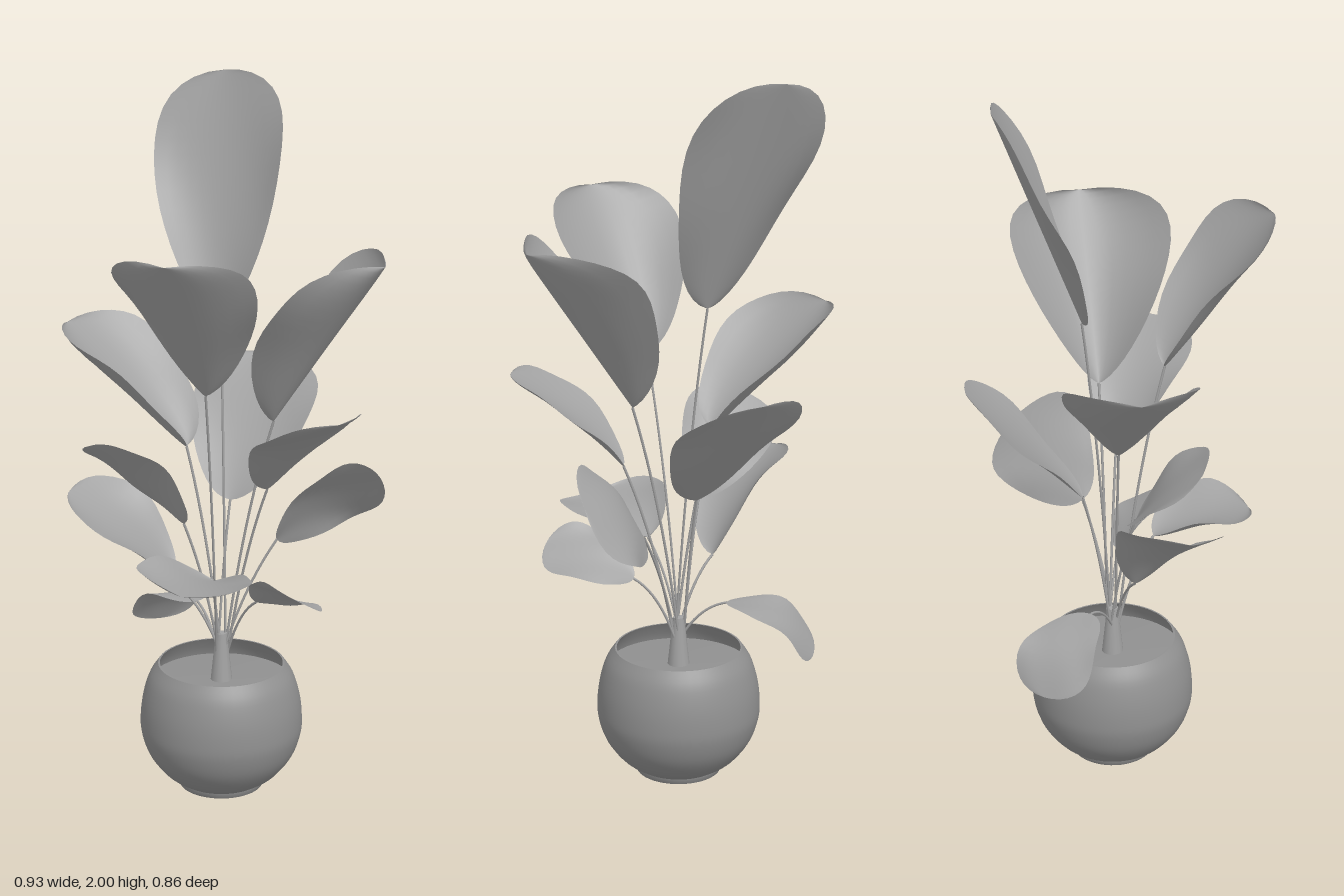
import * as THREE from 'three';

const V = (a) => new THREE.Vector3(...a);
const leafMat = new THREE.MeshStandardMaterial({ color: 0xa2a2a2, side: THREE.DoubleSide });
const potMat = new THREE.MeshStandardMaterial({ color: 0x909090, side: THREE.DoubleSide });
const CX = 0.005, CZ = -0.025; // pot axis

// base = where the stalk meets the blade, tilt = roll about its length,
// cup = how far the edges curl up, bend = arch along the length,
// taper = how slowly the blade widens from its base
const LEAVES = [
  { base: [-0.03, 1.37, -0.115], tip: [-0.11, 2.00, -0.36], width: 0.39, cup: 0.07, tilt: 0.36 },
  { base: [0.015, 1.20, 0.125], tip: [0.015, 1.62, 0.425], width: 0.39, cup: 0.13, taper: 0.55 },
  { base: [0.155, 1.10, -0.03], tip: [0.465, 1.56, -0.02], width: 0.45, cup: 0.23, taper: 0.65 },
  { base: [-0.10, 1.00, -0.03], tip: [-0.465, 1.32, -0.05], width: 0.36, cup: 0.14 },
  { base: [0.0, 0.83, -0.11], tip: [0.0, 1.18, -0.43], width: 0.37, cup: 0.04 },
  { base: [0.155, 0.92, 0.02], tip: [0.41, 1.18, 0.19], width: 0.30, cup: 0.05, bend: 0.02 },
  { base: [0.15, 0.74, -0.08], tip: [0.41, 0.91, -0.21], width: 0.32, cup: -0.02, bend: 0.03, tilt: 0.86 },
  { base: [-0.09, 0.79, 0.02], tip: [-0.32, 1.03, 0.15], width: 0.27, cup: 0.03, bend: 0.02, tilt: -0.5 },
  { base: [-0.13, 0.61, 0.01], tip: [-0.405, 0.87, 0.10], width: 0.28, cup: 0.07, bend: 0.03, tilt: 0.3 },
  { base: [0.03, 0.665, 0.10], tip: [0.04, 0.72, 0.38], width: 0.32, cup: 0.07, bend: 0.01, tilt: 0.1 },
  { base: [0.125, 0.585, 0.02], tip: [0.31, 0.67, 0.19], width: 0.20, cup: 0.01, bend: 0.02, tilt: 0.52 },
  { base: [-0.10, 0.51, -0.11], tip: [-0.28, 0.37, -0.28], width: 0.23, cup: 0, bend: 0.055 },
];

// Obovate blade: a plane reshaped along the base-to-tip axis
function leafGeometry({ base, tip, width, cup, bend = 0, tilt = 0, taper = 0.48 }, phase) {
  const b = V(base), along = V(tip).sub(b), dir = along.clone().normalize();
  const across = new THREE.Vector3(-dir.z, 0, dir.x).normalize().applyAxisAngle(dir, -tilt);
  const normal = across.clone().cross(dir);
  const profile = (t) => Math.pow(t, taper) * Math.sqrt(Math.max(0, 1 - t ** 5));
  const widest = profile(0.7);
  const geo = new THREE.PlaneGeometry(2, 1, 12, 20);
  const pos = geo.attributes.position, p = new THREE.Vector3();
  for (let i = 0; i < pos.count; i++) {
    const s = pos.getX(i);
    const t = (1 - Math.cos(Math.PI * (pos.getY(i) + 0.5))) / 2;
    const outline = profile(t) / widest;
    const wave = 0.008 * s * s * Math.sin(9 * t + phase + 2 * s) * outline;
    const curl = cup * s * s * outline * (1 - 0.6 * t);
    p.copy(b).addScaledVector(along, t)
      .addScaledVector(across, s * outline * width / 2)
      .addScaledVector(normal, curl + wave + bend * Math.sin(Math.PI * t));
    pos.setXYZ(i, p.x, p.y, p.z);
  }
  geo.computeVertexNormals();
  return geo;
}

// Thin stalk rising from the crown and leaning out to the blade
function stalkGeometry({ base }, i) {
  const a = i * 2.4;
  const start = new THREE.Vector3(CX + 0.013 * Math.cos(a), 0.36, CZ + 0.013 * Math.sin(a));
  const end = V(base);
  const mid = start.clone().lerp(end, 0.38);
  mid.y = THREE.MathUtils.lerp(start.y, end.y, 0.6) + (end.y < 0.7 ? 0.04 : 0);
  return new THREE.TubeGeometry(new THREE.QuadraticBezierCurve3(start, mid, end), 14, 0.0037, 6);
}

export function createModel() {
  const group = new THREE.Group();
  const add = (name, geo, material) => {
    const mesh = new THREE.Mesh(geo, material);
    mesh.name = name;
    group.add(mesh);
    return mesh;
  };
  const points = (list) => list.map((q) => new THREE.Vector2(...q));
  const lathe = (name, pts) => {
    add(name, new THREE.LatheGeometry(pts, 48), potMat).position.set(CX, 0, CZ);
  };

  // Round pot: outer bowl, thin rim and inner wall
  const outer = new THREE.SplineCurve(points([
    [0.122, 0.015], [0.165, 0.045], [0.207, 0.1], [0.228, 0.16], [0.231, 0.21],
    [0.224, 0.27], [0.206, 0.33], [0.18, 0.37],
  ])).getPoints(28);
  lathe('potBowl', outer);
  lathe('potRim', points([[0.18, 0.37], [0.175, 0.37]]));
  lathe('potInnerWall', points([[0.175, 0.37], [0.198, 0.335], [0.206, 0.31]]));

  // Foot ring with a recessed underside
  lathe('potFoot', points([[0.122, 0.018], [0.12, 0], [0.112, 0]]));
  lathe('potUnderside', points([[0.112, 0], [0.11, 0.008], [0, 0.008]]));

  // Soil
  lathe('soil', points([[0.205, 0.312], [0.1, 0.318], [0, 0.32]]));

  // Crown from which all stalks grow
  const crown = add('crown', new THREE.CylinderGeometry(0.016, 0.032, 0.15, 12), leafMat);
  crown.position.set(CX, 0.385, CZ);

  LEAVES.forEach((leaf, i) => {
    add('stalk' + (i + 1), stalkGeometry(leaf, i), leafMat);
    add('leaf' + (i + 1), leafGeometry(leaf, i * 1.7), leafMat);
  });
  return group;
}
